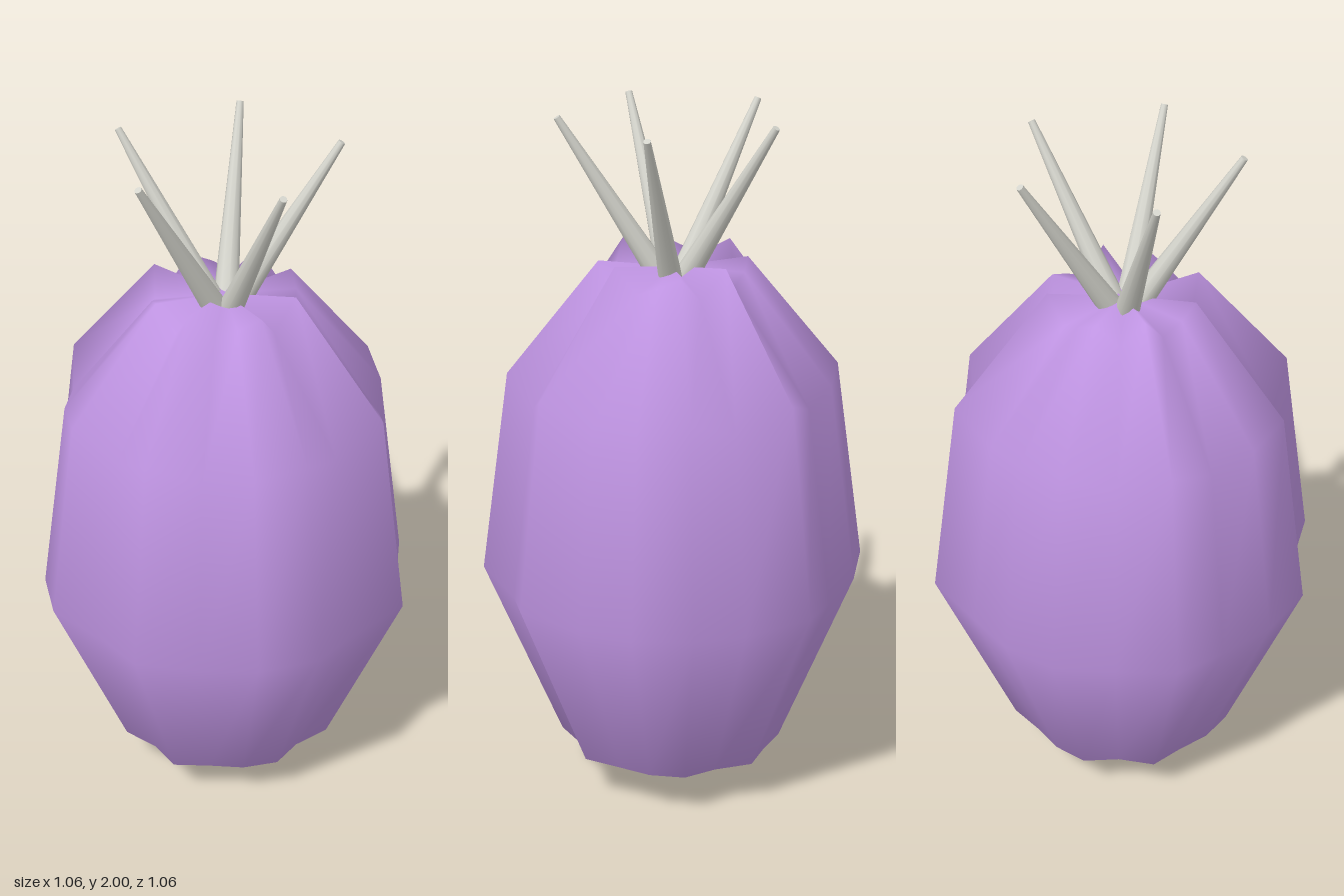
import * as THREE from 'three';

const SEGMENTS = 20;

// Lobed fruit skin: closed rings with a rippled radius and height, joined to two poles
function lobedBody(rings, bottomY, topY) {
  const positions = [];
  const index = [];
  for (const [radius, height] of rings) {
    for (let j = 0; j < SEGMENTS; j++) {
      const a = (j / SEGMENTS) * Math.PI * 2;
      const ripple = -Math.sin(8 * a);
      const r = radius * (1 + 0.07 * ripple);
      positions.push(r * Math.cos(a), height * (1 + 0.03 * ripple), r * Math.sin(a));
    }
  }
  const bottom = rings.length * SEGMENTS;
  const top = bottom + 1;
  positions.push(0, bottomY, 0, 0, topY, 0);

  const last = (rings.length - 1) * SEGMENTS;
  for (let j = 0; j < SEGMENTS; j++) {
    const k = (j + 1) % SEGMENTS;
    for (let i = 0; i < last; i += SEGMENTS) {
      const up = i + SEGMENTS;
      index.push(i + j, up + j, i + k, up + j, up + k, i + k);
    }
    index.push(bottom, j, k, last + j, top, last + k);
  }
  const geometry = new THREE.BufferGeometry();
  geometry.setAttribute('position', new THREE.Float32BufferAttribute(positions, 3));
  geometry.setIndex(index);
  geometry.computeVertexNormals();
  return geometry;
}

export function createModel() {
  const model = new THREE.Group();
  model.name = 'spikedFruit';

  const purple = new THREE.MeshStandardMaterial({ color: 0xbf94e2 });
  purple.name = 'purpleSkin';
  const grey = new THREE.MeshStandardMaterial({ color: 0xd4d4cc });
  grey.name = 'paleGreySpike';

  // Body: [radius, height] from the base to the folded crown
  const body = new THREE.Mesh(
    lobedBody([[0.32, 0.14], [0.53, 0.67], [0.45, 1.25], [0.2, 1.565]], 0, 1.57),
    purple
  );
  body.name = 'body';
  model.add(body);

  // Crown of five tapered spikes leaning outward
  const base = new THREE.Vector3(0.035, 1.54, 0);
  const tip = new THREE.Vector3(0.315, 1.995, 0);
  const axis = tip.clone().sub(base);
  const spikeGeometry = new THREE.CylinderGeometry(0.01, 0.035, axis.length(), 10);
  spikeGeometry.rotateZ(-Math.atan2(axis.x, axis.y));
  spikeGeometry.translate((base.x + tip.x) / 2, (base.y + tip.y) / 2, 0);

  const crown = new THREE.Group();
  crown.name = 'crown';
  for (let i = 0; i < 5; i++) {
    const spike = new THREE.Mesh(spikeGeometry, grey);
    spike.name = 'spike' + (i + 1);
    spike.rotation.y = (i * Math.PI * 2) / 5;
    crown.add(spike);
  }
  model.add(crown);

  return model;
}
